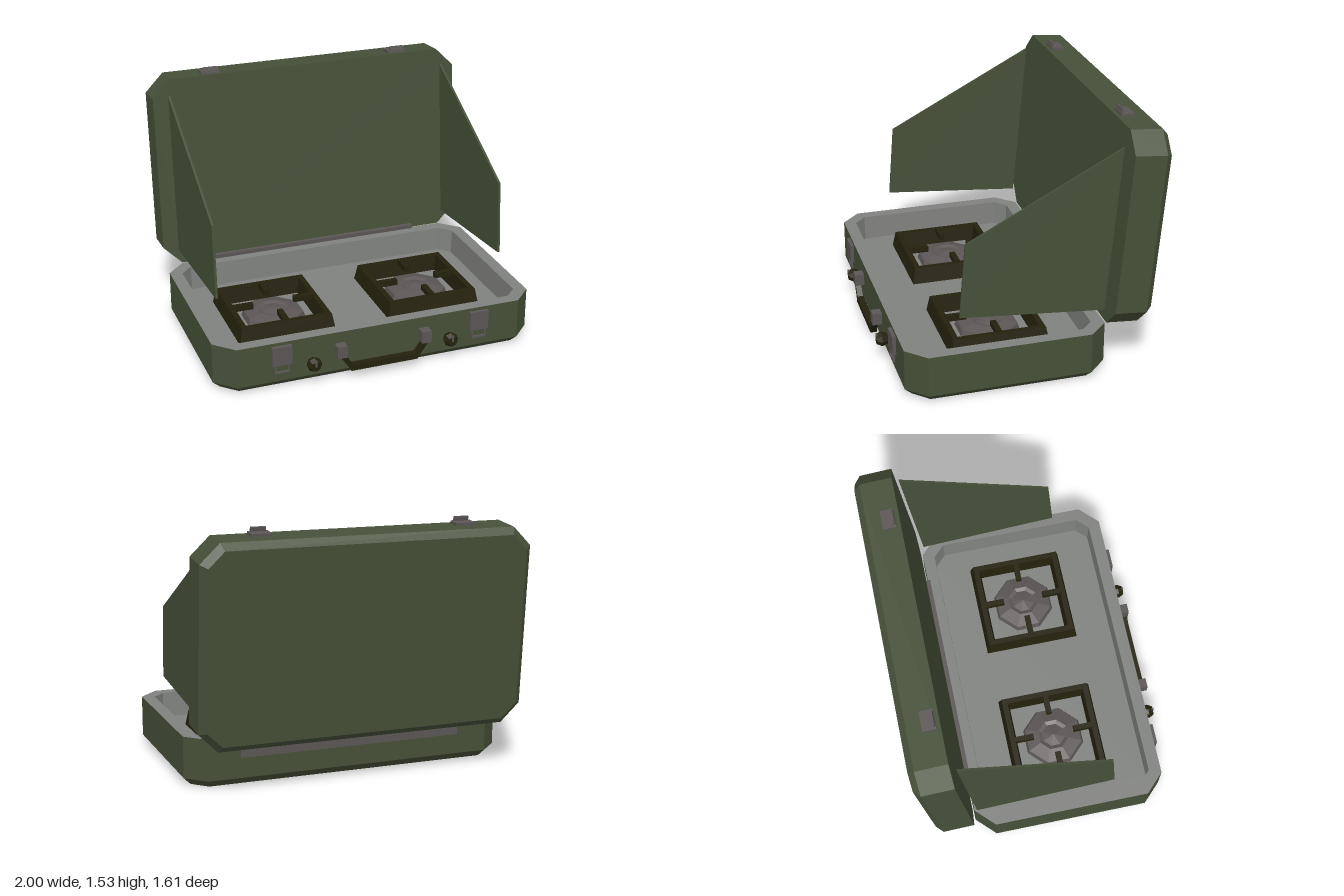
import * as THREE from 'three';

const mat = (name, color) => new THREE.MeshStandardMaterial({ name, color });

// Ring of a chamfered rectangle, counter-clockwise seen from above, shrunk evenly by d
function ring(hx, hz, cut, d, y) {
  const x = hx - d, z = hz - d;
  if (cut === 0) return [[-x, y, z], [x, y, z], [x, y, -z], [-x, y, -z]];
  const c = cut - d * 0.586;
  return [[-x + c, y, z], [x - c, y, z], [x, y, z - c], [x, y, -z + c],
    [x - c, y, -z], [-x + c, y, -z], [-x, y, -z + c], [-x, y, z - c]];
}

// Flat-shaded skin through [inset, y] levels, with optional end caps
function loft(hx, hz, cut, levels, capStart, capEnd) {
  const rings = levels.map(([d, y]) => ring(hx, hz, cut, d, y));
  const n = rings[0].length, pos = [];
  const tri = (a, b, c) => pos.push(...a, ...b, ...c);
  for (let k = 0; k < rings.length - 1; k++) {
    for (let i = 0; i < n; i++) {
      const j = (i + 1) % n, lo = rings[k], up = rings[k + 1];
      tri(lo[i], lo[j], up[j]);
      tri(lo[i], up[j], up[i]);
    }
  }
  const first = rings[0], last = rings[rings.length - 1];
  for (let i = 1; i < n - 1; i++) {
    if (capStart) tri(first[0], first[i + 1], first[i]);
    if (capEnd) tri(last[0], last[i], last[i + 1]);
  }
  const g = new THREE.BufferGeometry();
  g.setAttribute('position', new THREE.Float32BufferAttribute(pos, 3));
  g.computeVertexNormals();
  return g;
}

export function createModel() {
  const model = new THREE.Group();
  model.name = 'campStove';
  const green = mat('olive green paint', 0x465038);
  const tray = mat('light grey tray', 0x80827f);
  const metal = mat('dark grey metal', 0x5c5656);
  const iron = mat('black brown iron', 0x24210c);
  for (const m of [metal, iron]) m.flatShading = true;

  const add = (parent, name, geo, m, x = 0, y = 0, z = 0) => {
    const mesh = new THREE.Mesh(geo, m);
    mesh.name = name;
    mesh.position.set(x, y, z);
    parent.add(mesh);
    return mesh;
  };
  const box = (parent, name, m, w, h, d, x, y, z) =>
    add(parent, name, new THREE.BoxGeometry(w, h, d), m, x, y, z);
  const group = (name, x, y, z) => {
    const g = new THREE.Group();
    g.name = name;
    g.position.set(x, y, z);
    model.add(g);
    return g;
  };

  // Lower case and its recessed tray
  const floorY = 0.14, midZ = 0.135, frontZ = 0.735;
  add(model, 'lowerCase', loft(1, 0.6, 0.115, [[0.045, 0], [0, 0.045], [0, 0.295]], true, false),
    green, 0, 0, midZ);
  add(model, 'tray', loft(1, 0.6, 0.115, [[0, 0.295], [0.075, 0.295], [0.08, floorY]], false, true),
    tray, 0, 0, midZ);

  // Lid, leaning back from the hinge
  const lid = group('lid', 0, 0.293, -0.475);
  lid.rotation.x = -0.083;
  const shell = loft(1, 0.6, 0.115, [[0.04, 0], [0, 0.04], [0, 0.233]], true, true);
  shell.rotateX(Math.PI / 2).translate(0, 0.6, -0.233);
  add(lid, 'lidShell', shell, green);
  box(lid, 'lidHingeLeaf', metal, 1.38, 0.012, 0.13, 0, -0.006, -0.055);
  for (const x of [-0.62, 0.62]) {
    box(lid, 'lidCatchPlate', metal, 0.12, 0.018, 0.08, x, 1.208, -0.065);
    const hook = box(lid, 'lidCatchHook', metal, 0.09, 0.035, 0.014, x, 1.224, -0.035);
    hook.rotation.x = -0.12;
  }

  // Hinge on the back of the case
  box(model, 'hingeLeaf', metal, 1.38, 0.14, 0.012, 0, 0.24, -0.471);
  box(model, 'hingePin', metal, 1.38, 0.028, 0.028, 0, 0.306, -0.464);

  // Side wind screens
  const outline = [[0.535, 1.395], [-0.38, 0.92], [-0.415, 0.47], [0.45, 0.395]];
  const screen = new THREE.Shape(outline.map(([u, v]) => new THREE.Vector2(u, v)));
  const screenGeo = new THREE.ExtrudeGeometry(screen, { depth: 0.014, bevelEnabled: false });
  screenGeo.rotateY(Math.PI / 2).translate(-0.007, 0, 0);
  for (const x of [-0.903, 0.903]) add(model, 'windScreen', screenGeo, green, x);

  // Burners with square pan supports
  const frame = loft(0.3, 0.3, 0, [[0, 0], [0.018, 0.1], [0.052, 0.1], [0.065, 0]], false, false);
  const dish = new THREE.LatheGeometry([[0.197, 0], [0.185, 0.035], [0.1, 0.055], [0.075, 0.045], [0, 0.06]]
    .map(([r, y]) => new THREE.Vector2(r, y)), 8, Math.PI / 8);
  for (const x of [-0.475, 0.47]) {
    const burner = group('burner', x, floorY, 0.13);
    add(burner, 'burnerHead', dish, metal);
    add(burner, 'supportFrame', frame, iron);
    for (let i = 0; i < 4; i++) {
      const arm = new THREE.BoxGeometry(0.13, 0.035, 0.034);
      arm.translate(0.195, 0.092, 0).rotateY(i * Math.PI / 2);
      add(burner, 'supportArm', arm, iron);
    }
  }

  for (const s of [-1, 1]) {
    // Front latches: plate with a wire loop below
    const latch = group('latch', s * 0.62, 0, frontZ);
    box(latch, 'latchPlate', metal, 0.12, 0.12, 0.022, 0, 0.215, 0.011);
    for (const x of [-0.041, 0.041]) box(latch, 'latchLoopSide', metal, 0.009, 0.06, 0.012, x, 0.132, 0.012);
    box(latch, 'latchLoopBottom', metal, 0.091, 0.01, 0.012, 0, 0.107, 0.012);

    // Gas knobs with a pointer
    const knob = group('knob', s * 0.43, 0.13, frontZ);
    const body = new THREE.CylinderGeometry(0.03, 0.046, 0.03, 8).rotateX(Math.PI / 2);
    const base = new THREE.CylinderGeometry(0.046, 0.034, 0.035, 8).rotateX(Math.PI / 2);
    add(knob, 'knobBase', base, iron, 0, 0, 0.0175);
    add(knob, 'knobFace', body, iron, 0, 0, 0.05);
    box(knob, 'knobPointer', metal, 0.012, 0.04, 0.012, 0, 0.02, 0.063);

    // Handle brackets and sloping arms
    box(model, 'handleBracket', metal, 0.06, 0.075, 0.058, s * 0.265, 0.188, frontZ + 0.029);
    const arm = box(model, 'handleArm', iron, 0.03, 0.115, 0.035, s * 0.23, 0.115, frontZ + 0.037);
    arm.rotation.z = -s * 0.6;
  }
  box(model, 'handleGrip', iron, 0.42, 0.038, 0.04, 0, 0.075, frontZ + 0.037);

  return model;
}
